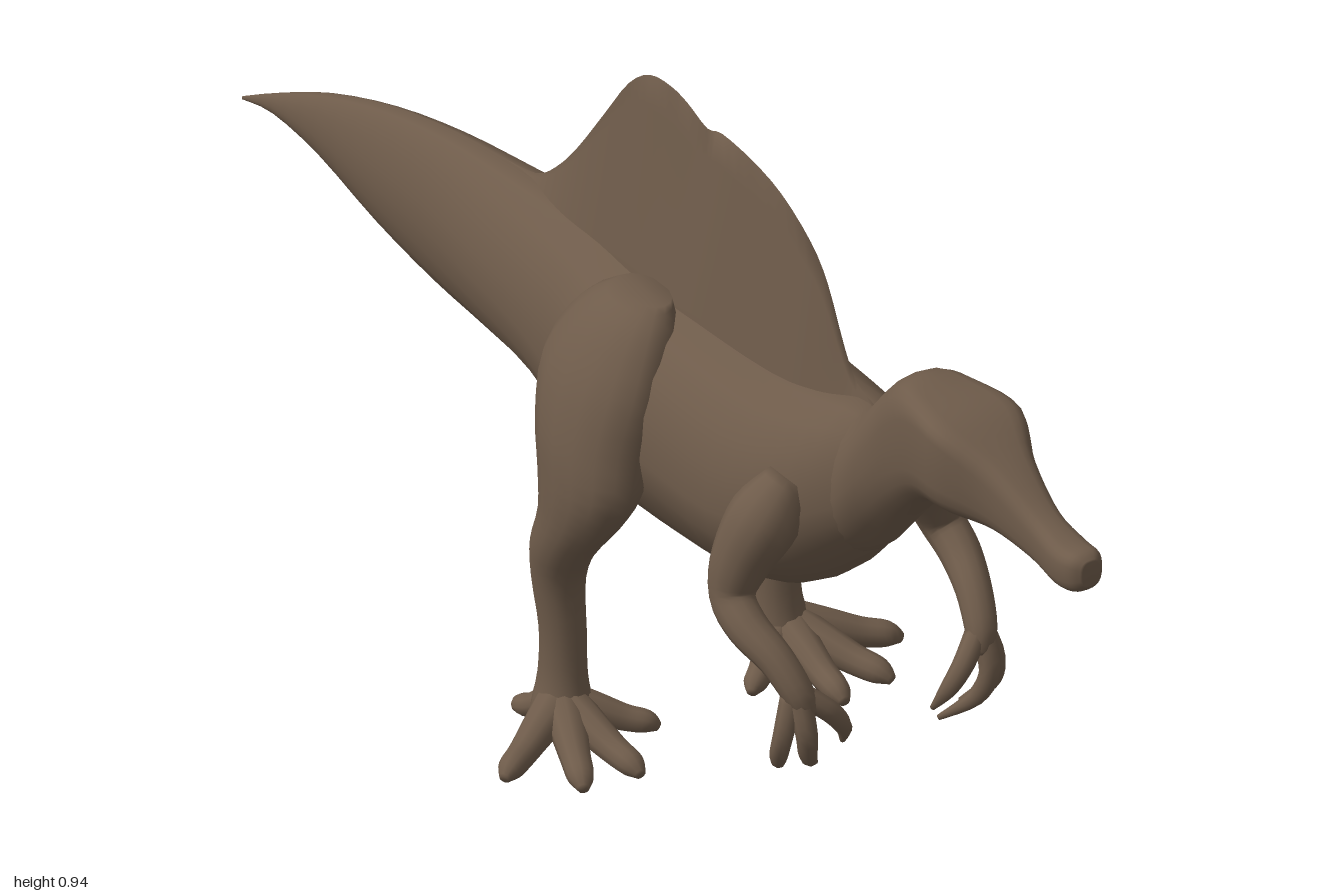
import * as THREE from 'three';

const hide = new THREE.MeshStandardMaterial({ color: 0x6e5b4a });
hide.name = 'brownHide';
const eyeDark = new THREE.MeshStandardMaterial({ color: 0x15110d });
eyeDark.name = 'eyeDark';

// Smoothly resample a short table of stations, each an array of numbers
function resample(rows, steps) {
  const out = [];
  const at = (i) => rows[Math.max(0, Math.min(rows.length - 1, i))];
  for (let i = 0; i < rows.length - 1; i++) {
    for (let s = 0; s < steps; s++) {
      const t = s / steps;
      out.push(rows[i].map((_, k) => {
        const a = at(i - 1)[k], b = at(i)[k], c = at(i + 1)[k], d = at(i + 2)[k];
        return b + 0.5 * t * (c - a + t * (2 * a - 5 * b + 4 * c - d + t * (3 * (b - c) + d - a)));
      }));
    }
  }
  out.push(rows[rows.length - 1]);
  return out;
}

// Skin a list of rings (arrays of Vector3) and close both ends
function skin(rings) {
  const n = rings[0].length, pos = [], idx = [];
  rings.forEach((r) => r.forEach((p) => pos.push(p.x, p.y, p.z)));
  for (let i = 0; i < rings.length - 1; i++) {
    for (let j = 0; j < n; j++) {
      const a = i * n + j, b = i * n + (j + 1) % n;
      idx.push(a, a + n, b, b, a + n, b + n);
    }
  }
  [0, rings.length - 1].forEach((ri) => {
    const c = new THREE.Vector3();
    rings[ri].forEach((p) => c.addScaledVector(p, 1 / n));
    const ci = pos.length / 3;
    pos.push(c.x, c.y, c.z);
    for (let j = 0; j < n; j++) {
      const a = ri * n + j, b = ri * n + (j + 1) % n;
      if (ri === 0) idx.push(ci, a, b); else idx.push(ci, b, a);
    }
  });
  const g = new THREE.BufferGeometry();
  g.setAttribute('position', new THREE.Float32BufferAttribute(pos, 3));
  g.setIndex(idx);
  g.computeVertexNormals();
  return g;
}

const pow = (v, p) => Math.sign(v) * Math.pow(Math.abs(v), p);

// Stations along z: [z, bottom, widest height, top, half width, upper power, lower power]
function lengthwise(rows, steps, sides) {
  return skin(resample(rows, steps).map(([z, bot, mid, top, w, pt, pb]) =>
    Array.from({ length: sides }, (_, j) => {
      const a = (j / sides) * Math.PI * 2, c = Math.cos(a), s = Math.sin(a);
      const p = s >= 0 ? pt : pb;
      return new THREE.Vector3(w * pow(c, p), mid + pow(s, p) * (s >= 0 ? top - mid : mid - bot), z);
    })));
}

// Stations down a leg: [y, x, z, radius in x, radius in z]
function upright(rows, steps, sides) {
  return skin(resample(rows, steps).map(([y, x, z, rx, rz]) =>
    Array.from({ length: sides }, (_, j) => {
      const a = (j / sides) * Math.PI * 2;
      return new THREE.Vector3(x + rx * Math.cos(a), y, z - rz * Math.sin(a));
    })));
}

// Tapering tube through [x, y, z, radius]
function limb(rows, steps = 4, sides = 10) {
  const pts = resample(rows, steps);
  const v = pts.map((p) => new THREE.Vector3(p[0], p[1], p[2]));
  let normal = new THREE.Vector3(1, 0.13, 0.21);
  return skin(pts.map((p, i) => {
    const t = v[Math.min(i + 1, v.length - 1)].clone().sub(v[Math.max(i - 1, 0)]).normalize();
    normal = normal.clone().addScaledVector(t, -normal.dot(t)).normalize();
    const bin = t.clone().cross(normal);
    return Array.from({ length: sides }, (_, j) => {
      const a = (j / sides) * Math.PI * 2;
      return v[i].clone().addScaledVector(normal, p[3] * Math.cos(a)).addScaledVector(bin, -p[3] * Math.sin(a));
    });
  }));
}

function mirrored(geometry) {
  const g = geometry.clone().scale(-1, 1, 1);
  const ix = g.index.array;
  for (let i = 0; i < ix.length; i += 3) [ix[i], ix[i + 1]] = [ix[i + 1], ix[i]];
  g.computeVertexNormals();
  return g;
}

export function createModel() {
  const model = new THREE.Group();
  model.name = 'sailBackedDinosaur';
  const add = (name, geometry, material = hide) => {
    const m = new THREE.Mesh(geometry, material);
    m.name = name;
    model.add(m);
  };
  const addPair = (name, geometry, material) => {
    add(name + 'Left', geometry, material);
    add(name + 'Right', mirrored(geometry), material);
  };

  // Snout, head and neck
  add('headAndNeck', lengthwise([
    [1.0, 0.66, 0.678, 0.697, 0.014, 0.7, 0.7],
    [0.985, 0.646, 0.678, 0.706, 0.027, 0.7, 0.7],
    [0.95, 0.641, 0.675, 0.706, 0.031, 0.7, 0.7],
    [0.89, 0.65, 0.685, 0.722, 0.029, 0.7, 0.7],
    [0.81, 0.656, 0.71, 0.762, 0.043, 0.55, 0.7],
    [0.735, 0.65, 0.74, 0.793, 0.073, 0.4, 0.65],
    [0.66, 0.632, 0.73, 0.798, 0.066, 0.45, 0.7],
    [0.6, 0.578, 0.69, 0.795, 0.062, 0.7, 0.85],
    [0.55, 0.52, 0.63, 0.752, 0.065, 0.9, 1],
    [0.5, 0.468, 0.57, 0.695, 0.075, 1, 1],
    [0.44, 0.44, 0.53, 0.65, 0.07, 1, 1]], 4, 24));

  // Trunk and tail
  add('trunkAndTail', lengthwise([
    [0.53, 0.51, 0.57, 0.66, 0.05, 1, 1],
    [0.48, 0.45, 0.545, 0.685, 0.085, 1, 1],
    [0.4, 0.375, 0.5, 0.675, 0.125, 1, 1],
    [0.3, 0.328, 0.48, 0.665, 0.145, 0.95, 1.1],
    [0.15, 0.3, 0.48, 0.665, 0.147, 0.9, 1.2],
    [0, 0.298, 0.48, 0.665, 0.147, 0.9, 1.2],
    [-0.1, 0.33, 0.49, 0.665, 0.125, 0.9, 1.1],
    [-0.2, 0.375, 0.5, 0.655, 0.105, 1, 1],
    [-0.35, 0.38, 0.5, 0.64, 0.083, 1.1, 1],
    [-0.5, 0.379, 0.495, 0.62, 0.06, 1.1, 1],
    [-0.65, 0.398, 0.485, 0.585, 0.043, 1.1, 1],
    [-0.8, 0.43, 0.475, 0.53, 0.025, 1, 1],
    [-0.92, 0.437, 0.452, 0.47, 0.01, 1, 1],
    [-1, 0.42, 0.422, 0.425, 0.001, 1, 1]], 3, 20));

  // Tall back sail with its shallow notch
  const crest = [[0.5, 0.685], [0.45, 0.70], [0.42, 0.74], [0.38, 0.82], [0.34, 0.866], [0.27, 0.907],
    [0.2, 0.925], [0.13, 0.931], [0.095, 0.922], [0.05, 0.938], [0.01, 0.945], [-0.04, 0.938],
    [-0.09, 0.9], [-0.15, 0.82], [-0.21, 0.74], [-0.26, 0.685], [-0.31, 0.65], [-0.4, 0.634]];
  add('backSail', lengthwise(crest.map(([z, top], i) => {
    const w = 0.012 + 0.045 * Math.sin((i / (crest.length - 1)) * Math.PI);
    return [z, 0.56, 0.62, top, w, 2, 1];
  }), 3, 16));

  // Eyes
  const eye = new THREE.SphereGeometry(0.007, 10, 8);
  eye.scale(0.5, 1, 1).translate(0.0665, 0.713, 0.722);
  addPair('eye', eye, eyeDark);

  // Thigh, knee and shank
  addPair('leg', upright([
    [0.675, 0.075, 0.055, 0.03, 0.05],
    [0.64, 0.095, 0.045, 0.055, 0.085],
    [0.57, 0.125, 0.04, 0.07, 0.11],
    [0.49, 0.15, 0.05, 0.07, 0.1],
    [0.42, 0.165, 0.062, 0.062, 0.09],
    [0.36, 0.175, 0.052, 0.052, 0.068],
    [0.3, 0.182, 0.022, 0.042, 0.052],
    [0.24, 0.178, 0.003, 0.036, 0.04],
    [0.16, 0.173, 0.006, 0.032, 0.034],
    [0.09, 0.174, 0.008, 0.033, 0.036],
    [0.04, 0.178, 0.012, 0.042, 0.044],
    [0.01, 0.18, 0.015, 0.04, 0.042]], 3, 16));

  // Splayed toes: tip x, tip z, thickness
  [[0.322, 0.085, 1], [0.25, 0.168, 1], [0.165, 0.18, 1], [0.075, 0.09, 0.9], [0.205, -0.06, 0.8]]
    .forEach(([tx, tz, k], i) => {
      const at = (t, y, r) => [0.18 + (tx - 0.18) * t, y, 0.012 + (tz - 0.012) * t, r * k];
      addPair('toe' + (i + 1), limb([at(0, 0.05, 0.034), at(0.35, 0.038, 0.026),
        at(0.65, 0.025, 0.021), at(0.88, 0.019, 0.018), at(1, 0.011, 0.007)]));
    });

  // Upper arm, forearm and palm
  addPair('arm', limb([
    [0.09, 0.57, 0.42, 0.03],
    [0.125, 0.52, 0.415, 0.05],
    [0.155, 0.455, 0.4, 0.042],
    [0.17, 0.405, 0.402, 0.032],
    [0.172, 0.375, 0.44, 0.029],
    [0.16, 0.345, 0.49, 0.025],
    [0.148, 0.305, 0.525, 0.022],
    [0.14, 0.275, 0.532, 0.016]], 4, 12));

  // Hooked fingers
  [
    [[0.14, 0.3, 0.525, 0.016], [0.108, 0.272, 0.542, 0.015], [0.085, 0.24, 0.54, 0.012], [0.073, 0.205, 0.52, 0.004]],
    [[0.148, 0.3, 0.528, 0.017], [0.148, 0.25, 0.545, 0.015], [0.135, 0.205, 0.53, 0.012], [0.1, 0.168, 0.495, 0.004]],
    [[0.155, 0.3, 0.52, 0.016], [0.172, 0.25, 0.525, 0.014], [0.17, 0.205, 0.51, 0.012], [0.145, 0.172, 0.48, 0.004]],
  ].forEach((rows, i) => addPair('finger' + (i + 1), limb(rows, 4, 8)));

  return model;
}
